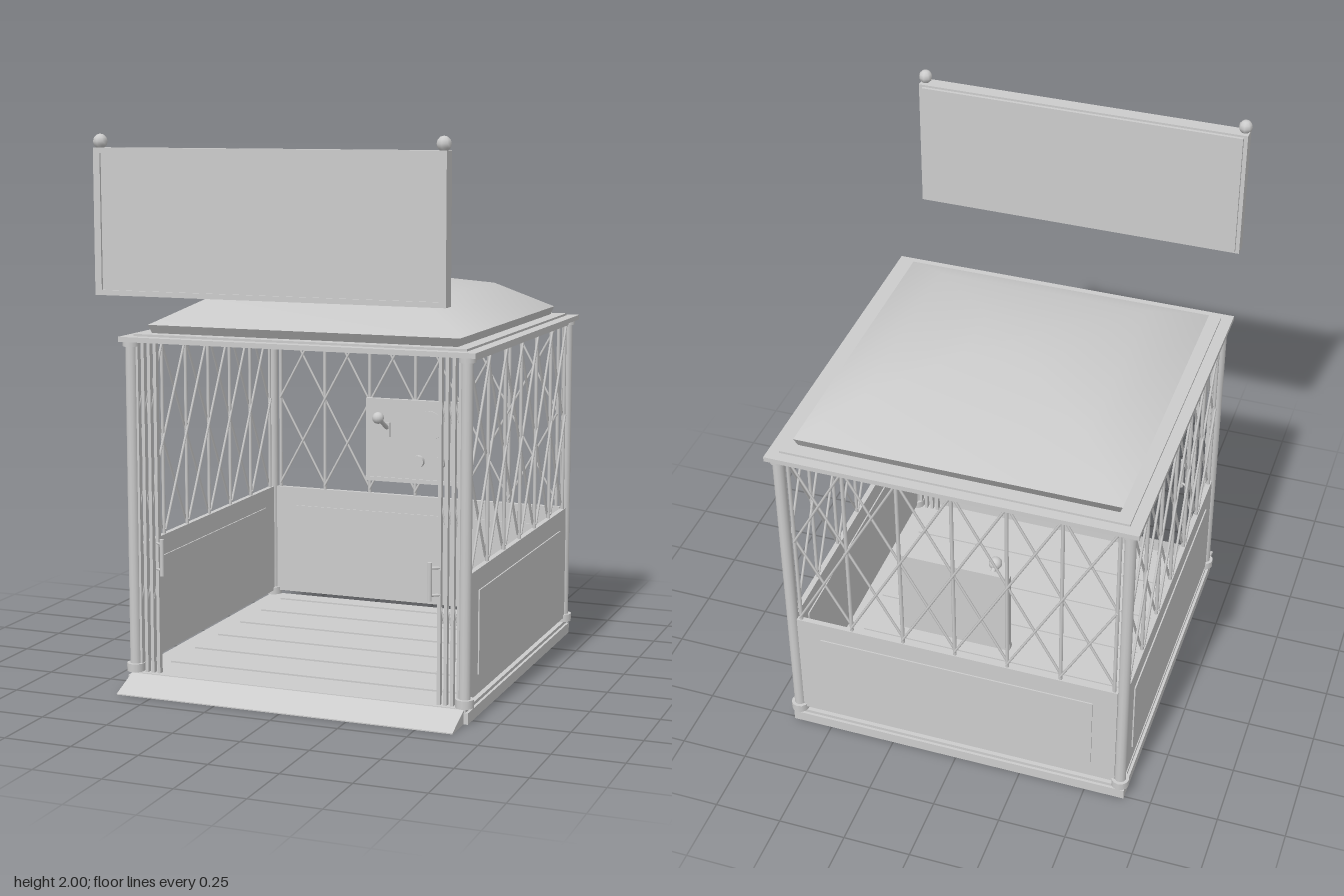
import * as THREE from 'three';

const metal = new THREE.MeshStandardMaterial({ color: 0xcccccc });
metal.name = 'plain grey';

const CZ = -0.11; // centre of the cage in z
const FRONT = 0.525, BACK = -0.74, SIDE = 0.63;

function add(parent, name, geo, x = 0, y = 0, z = 0) {
  const m = new THREE.Mesh(geo, metal);
  m.name = name;
  m.position.set(x, y, z);
  parent.add(m);
  return m;
}

// Box given by its limits
function block(parent, name, x0, x1, y0, y1, z0, z1) {
  return add(parent, name, new THREE.BoxGeometry(x1 - x0, y1 - y0, z1 - z0),
    (x0 + x1) / 2, (y0 + y1) / 2, (z0 + z1) / 2);
}

// Round or square bar between two points
function bar(parent, name, a, b, r, sides = 6) {
  const p = new THREE.Vector3(...a), q = new THREE.Vector3(...b);
  const d = q.clone().sub(p);
  const m = add(parent, name, new THREE.CylinderGeometry(r, r, d.length(), sides));
  m.position.copy(p).add(q).multiplyScalar(0.5);
  m.quaternion.setFromUnitVectors(new THREE.Vector3(0, 1, 0), d.normalize());
  return m;
}

// Wall built along its own x: lower panel, rail and lattice
function wall(name, width, latticeWidth) {
  const g = new THREE.Group();
  g.name = name;
  const w = width / 2, l = latticeWidth / 2, cells = 6, step = latticeWidth / cells;
  const low = 0.53, mid = 0.89, high = 1.25;
  block(g, 'lowerPanel', -w, w, 0.07, 0.515, -0.01, 0.01);
  for (const s of [-1, 1])
    block(g, 'panelMoulding', -w + 0.09, w - 0.09, 0.14, 0.44, s * 0.012 - 0.003, s * 0.012 + 0.003);
  block(g, 'topRail', -w, w, 1.245, 1.265, -0.012, 0.012);
  for (let i = 0; i <= cells; i++) {
    const x = -l + i * step;
    bar(g, 'latticeUpright', [x, 0.515, 0], [x, high, 0], 0.007);
    if (i === cells) break;
    for (const [y0, y1] of [[low, mid], [mid, high]]) {
      bar(g, 'latticeBar', [x, y0, 0.006], [x + step, y1, 0.006], 0.005, 5);
      bar(g, 'latticeBar', [x, y1, -0.006], [x + step, y0, -0.006], 0.005, 5);
    }
  }
  return g;
}

function buildFloor(root) {
  const g = new THREE.Group();
  g.name = 'floor';
  block(g, 'basePlate', -0.65, 0.65, 0, 0.04, -0.76, 0.55);
  block(g, 'floorDeck', -0.64, 0.64, 0.04, 0.052, -0.75, 0.545);
  for (let i = 0; i < 6; i++) {
    const z = 0.365 - i * 0.206;
    block(g, 'floorRidge', -0.56, 0.56, 0.05, 0.058, z - 0.018, z + 0.018);
  }
  // Sloping entrance ramp
  const s = new THREE.Shape([[0.54, 0], [0.67, 0], [0.67, 0.004], [0.55, 0.05], [0.54, 0.05]]
    .map(([z, y]) => new THREE.Vector2(z, y)));
  const ramp = add(g, 'entranceRamp',
    new THREE.ExtrudeGeometry(s, { depth: 1.27, bevelEnabled: false }), 0.635, 0, 0);
  ramp.rotation.y = -Math.PI / 2;
  root.add(g);
}

function buildPosts(root) {
  for (const x of [-SIDE, SIDE]) for (const z of [FRONT, BACK]) {
    add(root, 'cornerPost', new THREE.CylinderGeometry(0.021, 0.021, 1.22, 12), x, 0.66, z);
    add(root, 'postFoot', new THREE.CylinderGeometry(0.033, 0.033, 0.03, 12), x, 0.068, z);
    add(root, 'postCap', new THREE.CylinderGeometry(0.03, 0.03, 0.02, 12), x, 1.255, z);
  }
}

// Folded gates at both sides of the entrance
function buildGates(root) {
  for (const s of [-1, 1]) {
    const g = new THREE.Group();
    g.name = s > 0 ? 'leftGate' : 'rightGate';
    for (let i = 0; i < 4; i++) {
      const x = s * (0.608 - i * 0.024);
      block(g, 'gateSlat', x - 0.006, x + 0.006, 0.052, 1.262, 0.51, 0.53);
    }
    for (const y of [0.3, 0.65, 1.0]) for (let i = 0; i < 3; i++) {
      const x = s * (0.608 - i * 0.024);
      bar(g, 'gateLink', [x, y, 0.52], [x - s * 0.024, y + 0.12, 0.52], 0.003, 5);
    }
    bar(g, 'gateHandle', [s * 0.508, 0.42, 0.547], [s * 0.508, 0.555, 0.547], 0.008, 8);
    for (const y of [0.44, 0.535])
      bar(g, 'handleBracket', [s * 0.508, y, 0.547], [s * 0.54, y, 0.525], 0.005);
    root.add(g);
  }
}

function buildRoof(root) {
  const g = new THREE.Group();
  g.name = 'roof';
  block(g, 'cornice', -0.667, 0.667, 1.262, 1.28, -0.777, 0.555);
  block(g, 'corniceStep', -0.625, 0.625, 1.28, 1.288, -0.738, 0.515);
  // Four-sided dome
  const k = Math.SQRT2;
  const lathe = pts => new THREE.LatheGeometry(
    pts.map(([r, y]) => new THREE.Vector2(r * k, y)), 4, Math.PI / 4);
  add(g, 'domeLip', lathe([[0.575, 1.285], [0.587, 1.318]]), 0, 0, CZ);
  add(g, 'dome', lathe([[0.587, 1.318], [0.4, 1.42], [0.13, 1.47], [0, 1.472]]), 0, 0, CZ);
  root.add(g);
  // Ceiling lamp
  add(root, 'lampRose', new THREE.CylinderGeometry(0.13, 0.13, 0.03, 24), 0, 1.247, CZ);
  const ring = add(root, 'lampRing', new THREE.TorusGeometry(0.148, 0.012, 8, 28), 0, 1.247, CZ);
  ring.rotation.x = Math.PI / 2;
}

function buildControls(root) {
  const g = new THREE.Group();
  g.name = 'controlPanel';
  block(g, 'controlPlate', -0.2, 0.2, 0.575, 0.915, -0.722, -0.7);
  block(g, 'controlLedge', -0.2, 0.2, 0.575, 0.592, -0.722, -0.694);
  const disc = (name, x, y, r, depth) => {
    add(g, name, new THREE.CylinderGeometry(r, r, depth, 24), x, y, -0.7 + depth / 2)
      .rotation.x = Math.PI / 2;
  };
  disc('dial', 0.075, 0.815, 0.06, 0.008);
  disc('button', 0.03, 0.667, 0.025, 0.022);
  disc('button', 0.12, 0.667, 0.025, 0.022);
  block(g, 'leverMount', -0.118, -0.094, 0.76, 0.82, -0.7, -0.69);
  bar(g, 'leverArm', [-0.106, 0.795, -0.7], [-0.106, 0.85, -0.595], 0.009, 8);
  add(g, 'leverKnob', new THREE.SphereGeometry(0.024, 12, 8), -0.106, 0.853, -0.59);
  root.add(g);
}

function buildSign(root) {
  const g = new THREE.Group();
  g.name = 'signBoard';
  block(g, 'signPanel', -0.62, 0.62, 1.46, 1.945, 0.708, 0.765);
  // Raised border
  for (const [y0, y1] of [[1.45, 1.468], [1.935, 1.953]])
    block(g, 'signFrameBar', -0.635, 0.635, y0, y1, 0.72, 0.773);
  for (const s of [-1, 1]) {
    block(g, 'signFrameEnd', s * 0.6225 - 0.0125, s * 0.6225 + 0.0125, 1.45, 1.953, 0.72, 0.773);
    add(g, 'signBall', new THREE.SphereGeometry(0.026, 8, 6), s * 0.618, 1.974, 0.75);
  }
  root.add(g);
}

export function createModel() {
  const root = new THREE.Group();
  root.name = 'liftCage';
  buildFloor(root);
  buildPosts(root);
  for (const s of [-1, 1]) {
    const side = wall(s > 0 ? 'leftWall' : 'rightWall', 1.225, 1.186);
    side.rotation.y = s * Math.PI / 2;
    side.position.set(s * SIDE, 0, CZ);
    root.add(side);
  }
  const back = wall('backWall', 1.22, 1.19);
  back.position.z = BACK;
  root.add(back);
  buildGates(root);
  buildRoof(root);
  buildControls(root);
  buildSign(root);
  return root;
}
